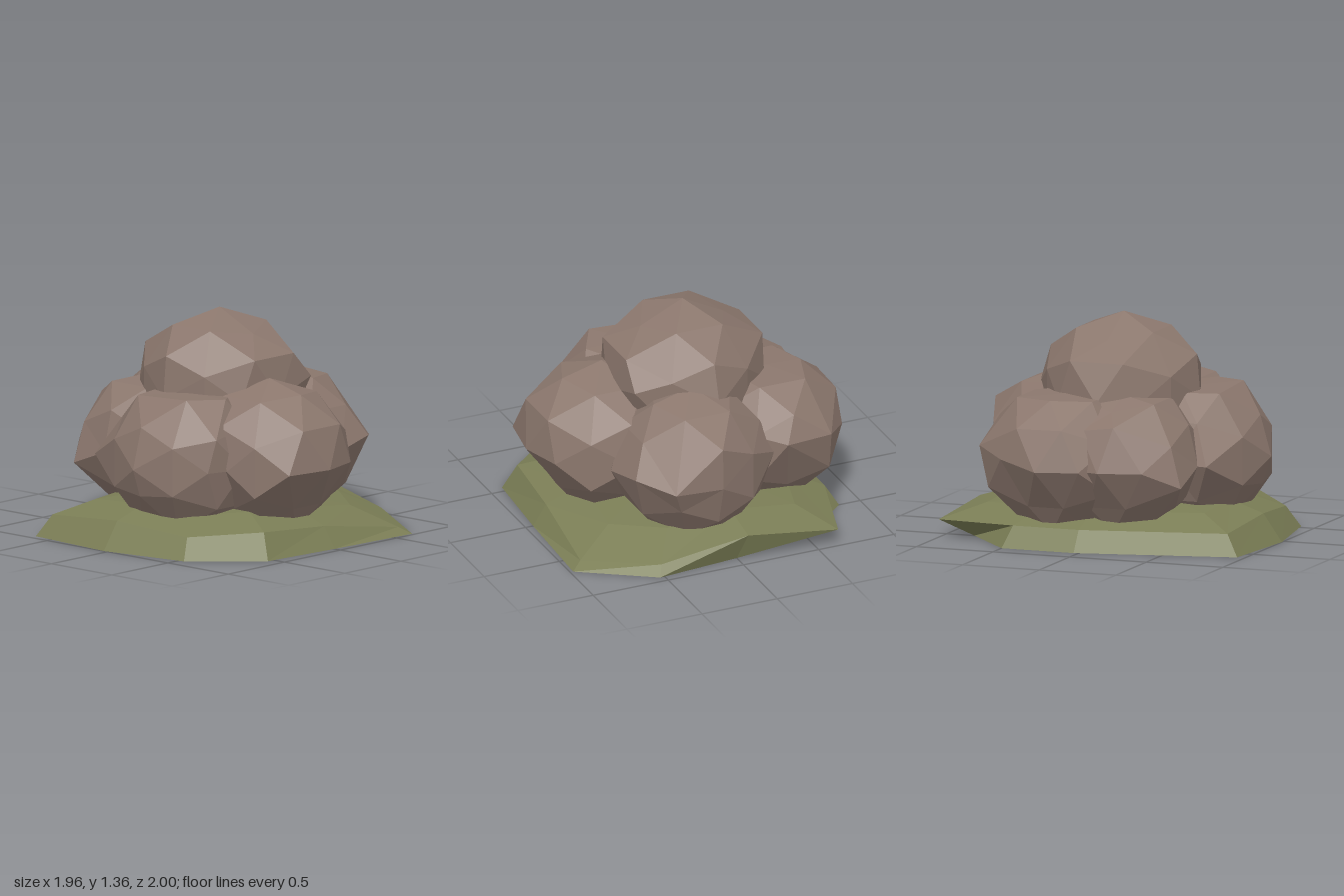
import * as THREE from 'three';

const rockMaterial = new THREE.MeshStandardMaterial({ color: 0x8b776d, flatShading: true });
const groundMaterial = new THREE.MeshStandardMaterial({ color: 0x7a7d55, flatShading: true });

// Boulder: a once-divided icosahedron. "belt" widens its upper sides, "taper" narrows
// its underside, then the corners nearest to the given points are pulled to them.
function makeBoulder({ name, center, radius, pulls, belt = 1, taper = 1 }) {
  const geometry = new THREE.IcosahedronGeometry(1, 1);
  const pos = geometry.attributes.position;
  const c = new THREE.Vector3(...center);
  const corners = [];
  for (let i = 0; i < pos.count; i++) {
    const dir = new THREE.Vector3().fromBufferAttribute(pos, i);
    let corner = corners.find((k) => k.dir.distanceTo(dir) < 0.01);
    if (!corner) {
      const spread = dir.y < -0.4 ? taper : dir.y > 0.4 && dir.y < 0.6 ? belt : 1;
      const point = dir.clone().multiply(new THREE.Vector3(spread, 1, spread));
      corner = { dir, point: point.multiplyScalar(radius), uses: [] };
      corners.push(corner);
    }
    corner.uses.push(i);
  }
  for (const pull of pulls) {
    const target = new THREE.Vector3(...pull).sub(c);
    const aim = target.clone().normalize();
    const nearest = corners.reduce((a, b) => (b.dir.dot(aim) > a.dir.dot(aim) ? b : a));
    nearest.point.copy(target);
  }
  for (const { point, uses } of corners) {
    for (const i of uses) pos.setXYZ(i, point.x, point.y, point.z);
  }
  geometry.computeVertexNormals();
  const mesh = new THREE.Mesh(geometry, rockMaterial);
  mesh.name = name;
  mesh.position.copy(c);
  return mesh;
}

// Ground mound: an irregular base outline and shoulder, rising over a crown to a low peak
function makeMound() {
  const base = [
    [-0.5, -0.82], [0, -0.9], [0.53, -0.95], [0.98, -0.66], [0.95, 0], [0.91, 0.55],
    [0.54, 0.9], [-0.03, 1], [-0.64, 0.95], [-0.75, 0.46], [-0.86, -0.03], [-0.86, -0.5],
  ].map(([x, z]) => [x, 0, z]);
  const shoulder = base.map(([x, , z]) => [x * 0.91, 0.13, z * 0.91]);
  // Corners that leave the even slope: overhanging back right, low back left, high front
  shoulder[0] = [-0.63, 0.11, -1];
  shoulder[1] = [-0.05, 0.17, -0.96];
  shoulder[2] = [0.5, 0.06, -0.9];
  shoulder[3] = [0.91, 0.04, -0.61];
  shoulder[5] = [0.83, 0.16, 0.5];
  shoulder[7] = [-0.03, 0.17, 0.88];
  const crown = shoulder.map(([x, y, z]) => [x * 0.72, 0.14 + y * 0.6, z * 0.75]);
  const rings = [base, shoulder, crown];
  const n = base.length;
  const points = [...rings.flat(), [0, 0.3, 0], [0, 0, 0]];
  const peak = rings.length * n;
  const index = [];
  for (let i = 0; i < n; i++) {
    const j = (i + 1) % n;
    for (let r = 0; r < rings.length - 1; r++) {
      const a = r * n + i, b = r * n + j;
      index.push(a, a + n, b, b, a + n, b + n);
    }
    index.push(2 * n + i, peak, 2 * n + j);
    index.push(i, j, peak + 1);
  }
  const geometry = new THREE.BufferGeometry();
  geometry.setAttribute('position', new THREE.Float32BufferAttribute(points.flat(), 3));
  geometry.setIndex(index);
  geometry.computeVertexNormals();
  const mesh = new THREE.Mesh(geometry, groundMaterial);
  mesh.name = 'groundMound';
  return mesh;
}

const boulders = [
  {
    name: 'topBoulder', center: [-0.03, 0.86, -0.03], radius: 0.5, belt: 1.12,
    pulls: [[-0.3, 1.22, -0.03], [0.25, 1.23, -0.03], [-0.03, 0.88, -0.58],
      [-0.57, 0.87, 0], [0.43, 0.95, -0.35]],
  },
  {
    name: 'frontBoulder', center: [0.1, 0.5, 0.4], radius: 0.48,
    pulls: [[-0.42, 0.5, 0.66], [0.3, 0.92, 0.62], [-0.1, 0.9, 0.62], [0.53, 0.7, 0.6],
      [0.1, 0.91, 0.4], [-0.15, 0.9, 0.4], [0.42, 0.91, 0.4], [0.1, 0.33, 0.82]],
  },
  {
    name: 'leftBoulder', center: [0.47, 0.5, 0.06], radius: 0.5, belt: 1.06, taper: 0.76,
    pulls: [[0.73, 0.93, 0.06], [0.92, 0.5, 0.37], [0.55, 0.5, 0.53]],
  },
  {
    name: 'backBoulder', center: [0.1, 0.5, -0.45], radius: 0.48,
    pulls: [[0.1, 0.76, -0.92], [0.4, 0.5, -0.9], [0.58, 0.55, -0.7],
      [0.62, 0.5, -0.42], [-0.35, 0.55, -0.68]],
  },
  {
    name: 'rightBackBoulder', center: [-0.49, 0.5, -0.24], radius: 0.49, taper: 0.76,
    pulls: [[-0.89, 0.75, -0.1], [-0.72, 0.9, -0.24], [-0.88, 0.55, -0.5],
      [-0.72, 0.6, -0.7], [-0.42, 0.6, -0.73], [-0.49, 0.91, -0.24]],
  },
  {
    name: 'rightFrontBoulder', center: [-0.4, 0.5, 0.13], radius: 0.48, taper: 0.8,
    pulls: [[-0.79, 0.77, 0.2], [-0.45, 0.92, 0.13], [-0.8, 0.5, 0.39],
      [-0.66, 0.4, 0.59], [-0.4, 0.5, 0.6], [-0.64, 0.84, 0.13]],
  },
];

export function createModel() {
  const group = new THREE.Group();
  group.name = 'boulderPile';
  group.add(makeMound());
  for (const spec of boulders) group.add(makeBoulder(spec));
  return group;
}
